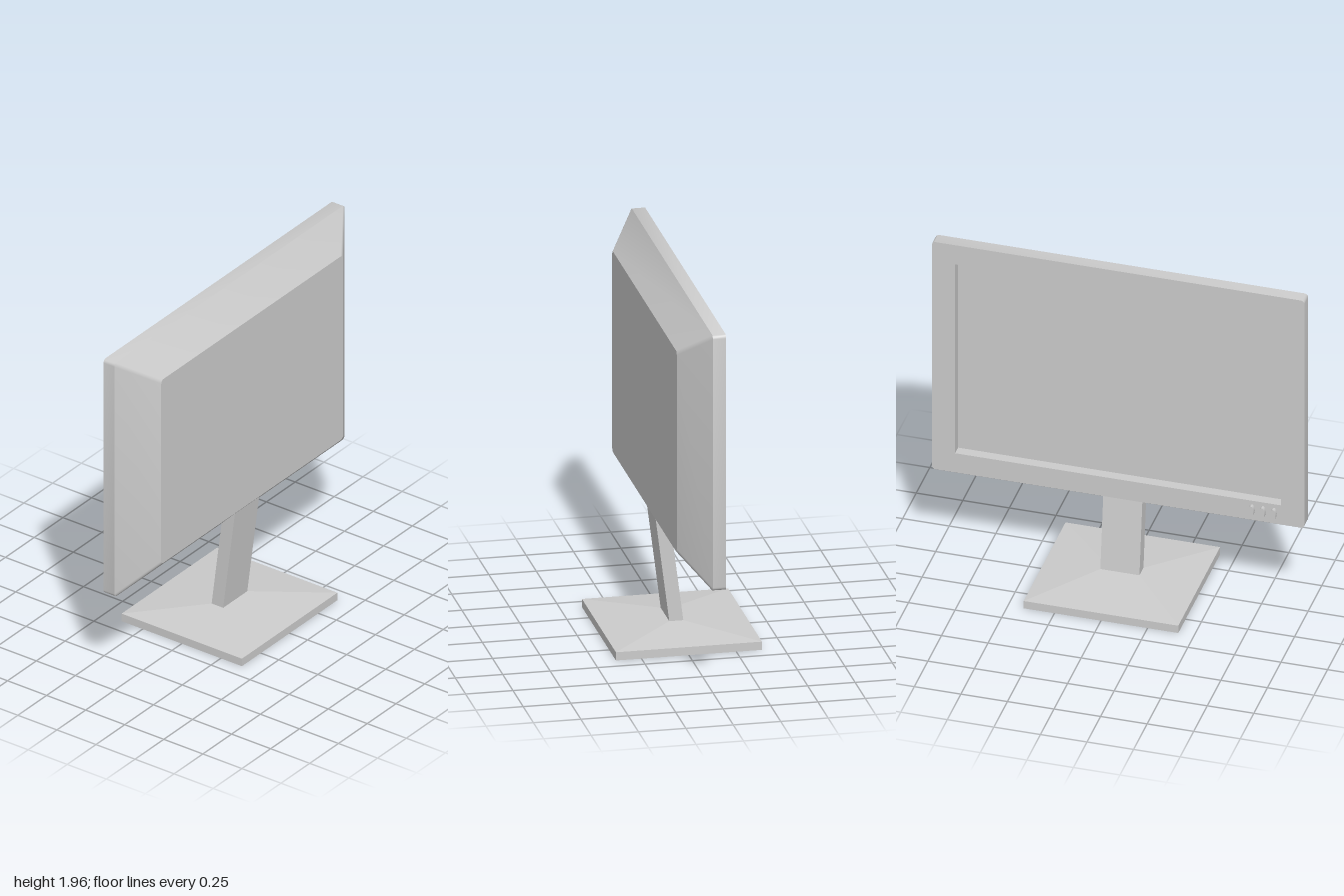
import * as THREE from 'three';
import { toCreasedNormals } from 'three/addons/utils/BufferGeometryUtils.js';

const grey = new THREE.MeshStandardMaterial({ color: 0xcccccc });
const greyThin = new THREE.MeshStandardMaterial({ color: 0xcccccc, side: THREE.DoubleSide });

function add(parent, name, geometry, material = grey) {
  const mesh = new THREE.Mesh(geometry, material);
  mesh.name = name;
  parent.add(mesh);
  return mesh;
}

// Rectangle with rounded corners, counter-clockwise, centred on (cx, cy)
function rectPoints(hw, hh, r = 0, cx = 0, cy = 0, steps = 4) {
  const corners = [[1, 1], [-1, 1], [-1, -1], [1, -1]];
  const points = [];
  corners.forEach(([sx, sy], k) => {
    for (let i = 0; i <= (r ? steps : 0); i++) {
      const a = (k + i / steps) * Math.PI / 2;
      points.push(new THREE.Vector2(
        cx + sx * (hw - r) + r * Math.cos(a),
        cy + sy * (hh - r) + r * Math.sin(a)));
    }
  });
  if (!r) return corners.map(([sx, sy]) => new THREE.Vector2(cx + sx * hw, cy + sy * hh));
  return points;
}

// Skin between outlines stacked along z: sections = [[points, z], ...]
function loft(sections, crease = 0.6) {
  const n = sections[0][0].length;
  const positions = sections.flatMap(([pts, z]) => pts.flatMap(p => [p.x, p.y, z]));
  const index = [];
  for (let s = 0; s < sections.length - 1; s++) {
    for (let i = 0; i < n; i++) {
      const a = s * n + i, b = s * n + (i + 1) % n;
      index.push(a, b, b + n, a, b + n, a + n);
    }
  }
  const g = new THREE.BufferGeometry();
  g.setAttribute('position', new THREE.Float32BufferAttribute(positions, 3));
  g.setIndex(index);
  return toCreasedNormals(g, crease);
}

export function createModel() {
  const model = new THREE.Group();
  model.name = 'monitor';

  // Head: local z runs from the screen to the back, which is +x on the model
  const head = new THREE.Group();
  head.name = 'head';
  head.rotation.y = Math.PI / 2;
  head.position.y = 1.255;
  model.add(head);

  const outer = rectPoints(1, 0.7, 0.02);
  const rear = rectPoints(0.79, 0.55, 0.02);

  // Bezel frame around the recessed screen
  const frame = new THREE.Shape(outer);
  frame.holes.push(new THREE.Path(rectPoints(0.875, 0.582).reverse()));
  const bezel = new THREE.ExtrudeGeometry(frame, { depth: 0.07, bevelEnabled: false });
  bezel.translate(0, 0, -0.07);
  add(head, 'bezel', toCreasedNormals(bezel, 0.6));

  const screen = new THREE.PlaneGeometry(1.75, 1.164);
  screen.rotateY(Math.PI).translate(0, 0, -0.015);
  add(head, 'screen', screen);

  // Tapered rear housing with a flat back
  add(head, 'rearHousing', loft([[outer, 0], [rear, 0.145]]));
  const back = new THREE.ShapeGeometry(new THREE.Shape(rear));
  add(head, 'rearPanel', back.translate(0, 0, 0.145));

  // Three oval buttons at the lower corner
  for (const z of [0.718, 0.777, 0.836]) {
    const button = new THREE.CylinderGeometry(0.5, 0.5, 0.022, 20);
    button.rotateX(Math.PI / 2).scale(0.032, 0.066, 1);
    add(head, 'button', button).position.set(-z, -0.637, -0.081);
  }

  // Leaning hollow neck, running up into the housing
  const neck = loft([
    [rectPoints(0.037, 0.105), 0.08],
    [rectPoints(0.037, 0.105, 0, 0.075), 0.67],
  ]);
  add(model, 'neck', neck.rotateX(-Math.PI / 2), greyThin);

  // Open-bottomed base: short walls, then a shallow slope up to the neck
  const base = loft([
    [rectPoints(0.385, 0.415), 0],
    [rectPoints(0.385, 0.415), 0.045],
    [rectPoints(0.037, 0.105), 0.08],
  ], 0.01);
  add(model, 'base', base.rotateX(-Math.PI / 2), greyThin);

  return model;
}
